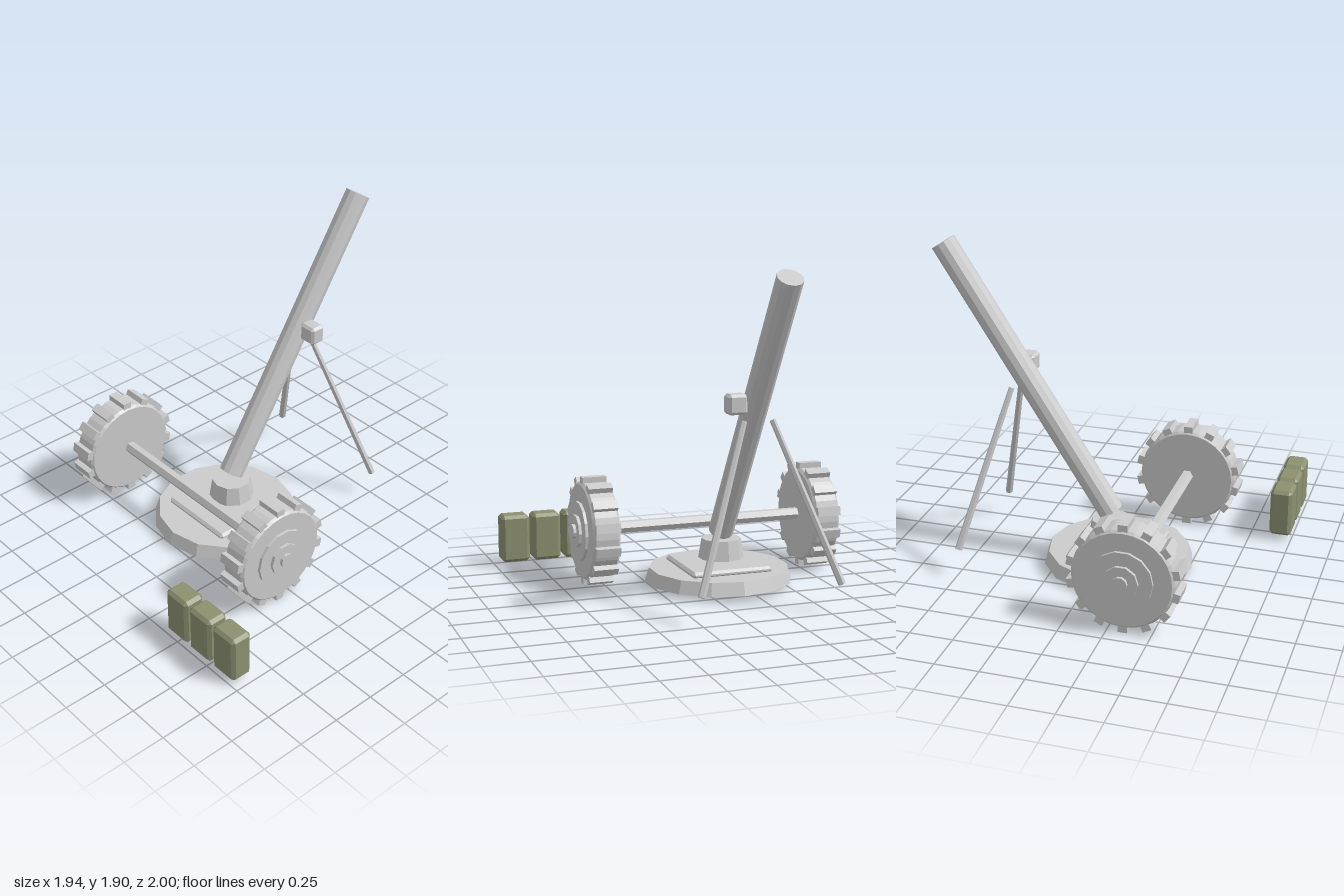
import * as THREE from 'three';
import { ConvexGeometry } from 'three/addons/geometries/ConvexGeometry.js';

const grey = new THREE.MeshStandardMaterial({ color: 0xcccccc, flatShading: true });
const olive = new THREE.MeshStandardMaterial({ color: 0x8c9170, flatShading: true });
const CX = -0.15; // the weapon's centre line

function add(parent, name, geometry, x, y, z, material = grey) {
  const mesh = new THREE.Mesh(geometry, material);
  mesh.name = name;
  mesh.position.set(x, y, z);
  parent.add(mesh);
  return mesh;
}

// Box with every edge cut by a flat chamfer
function chamferBox(w, h, d, c) {
  const points = [];
  for (const i of [-0.5, 0.5]) for (const j of [-0.5, 0.5]) for (const k of [-0.5, 0.5]) {
    const full = new THREE.Vector3(w * i, h * j, d * k);
    const cut = new THREE.Vector3(i, j, k).multiplyScalar(2 * c);
    for (const axis of ['x', 'y', 'z']) {
      const p = full.clone().sub(cut);
      p[axis] = full[axis];
      points.push(p);
    }
  }
  return new ConvexGeometry(points);
}

// Tapered rod from a to b
function rod(parent, name, a, b, ra, rb, sides) {
  const dir = b.clone().sub(a);
  const mid = a.clone().add(b).multiplyScalar(0.5);
  const mesh = add(parent, name, new THREE.CylinderGeometry(rb, ra, dir.length(), sides), mid.x, mid.y, mid.z);
  mesh.quaternion.setFromUnitVectors(new THREE.Vector3(0, 1, 0), dir.normalize());
  return mesh;
}

// Wheel with its axis along x and its hub facing +x
function makeWheel() {
  const wheel = new THREE.Group();
  const profile = [[0, -0.081], [0.275, -0.081], [0.29, -0.066], [0.29, 0.066], [0.275, 0.081], [0, 0.081]]
    .map(([r, y]) => new THREE.Vector2(r, y));
  add(wheel, 'rim', new THREE.LatheGeometry(profile, 28), 0, 0, 0).rotation.z = -Math.PI / 2;

  // Stepped hub: radius, outer face, sides
  const steps = [['hubPlate', 0.174, 0.098, 14], ['hubCap', 0.097, 0.116, 10], ['axleEnd', 0.042, 0.134, 10]];
  for (const [name, r, face, sides] of steps) {
    add(wheel, name, new THREE.CylinderGeometry(r, r, face, sides), face / 2, 0, 0).rotation.z = -Math.PI / 2;
  }

  // Tread blocks
  const block = new THREE.BoxGeometry(0.146, 0.05, 0.053);
  for (let i = 0; i < 14; i++) {
    const a = (i / 14) * Math.PI * 2;
    add(wheel, 'treadBlock', block, 0, 0.295 * Math.cos(a), 0.295 * Math.sin(a)).rotation.x = a;
  }
  return wheel;
}

export function createModel() {
  const model = new THREE.Group();
  model.name = 'wheeledMortar';

  // Base plate, raised square and barrel socket
  add(model, 'basePlate', new THREE.CylinderGeometry(0.41, 0.436, 0.077, 14), CX, 0.068, 0.092);
  add(model, 'raisedPlate', chamferBox(0.49, 0.04, 0.49, 0.015), CX, 0.118, 0.088);
  add(model, 'barrelSocket', new THREE.CylinderGeometry(0.115, 0.134, 0.115, 10), CX, 0.227, 0.045);

  // Barrel leaning to the rear
  const barrel = add(model, 'barrel', new THREE.CylinderGeometry(0.073, 0.073, 1.82, 12), CX, 1.093, -0.447);
  barrel.rotation.x = -0.572;

  // Sight beside the barrel
  add(model, 'sight', chamferBox(0.112, 0.112, 0.096, 0.015), -0.032, 1.152, -0.485);

  // Splayed support legs and wheels
  for (const side of [-1, 1]) {
    rod(model, side > 0 ? 'leftLeg' : 'rightLeg',
      new THREE.Vector3(CX + side * 0.41, 0.163, -0.745),
      new THREE.Vector3(CX + side * 0.083, 1.06, -0.52), 0.022, 0.017, 6);

    const wheel = makeWheel();
    wheel.name = side > 0 ? 'leftWheel' : 'rightWheel';
    wheel.position.set(CX + side * 0.689, 0.322, 0.34);
    if (side < 0) wheel.rotation.y = Math.PI;
    model.add(wheel);
  }

  // Axle
  add(model, 'axle', new THREE.CylinderGeometry(0.038, 0.038, 1.38, 6), CX, 0.325, 0.34).rotation.z = -Math.PI / 2;

  // Row of ammunition cases
  for (let i = 0; i < 3; i++) {
    add(model, 'ammunitionCase', chamferBox(0.175, 0.29, 0.13, 0.019), 0.492 + i * 0.195, 0.176, 0.933, olive);
  }

  return model;
}
